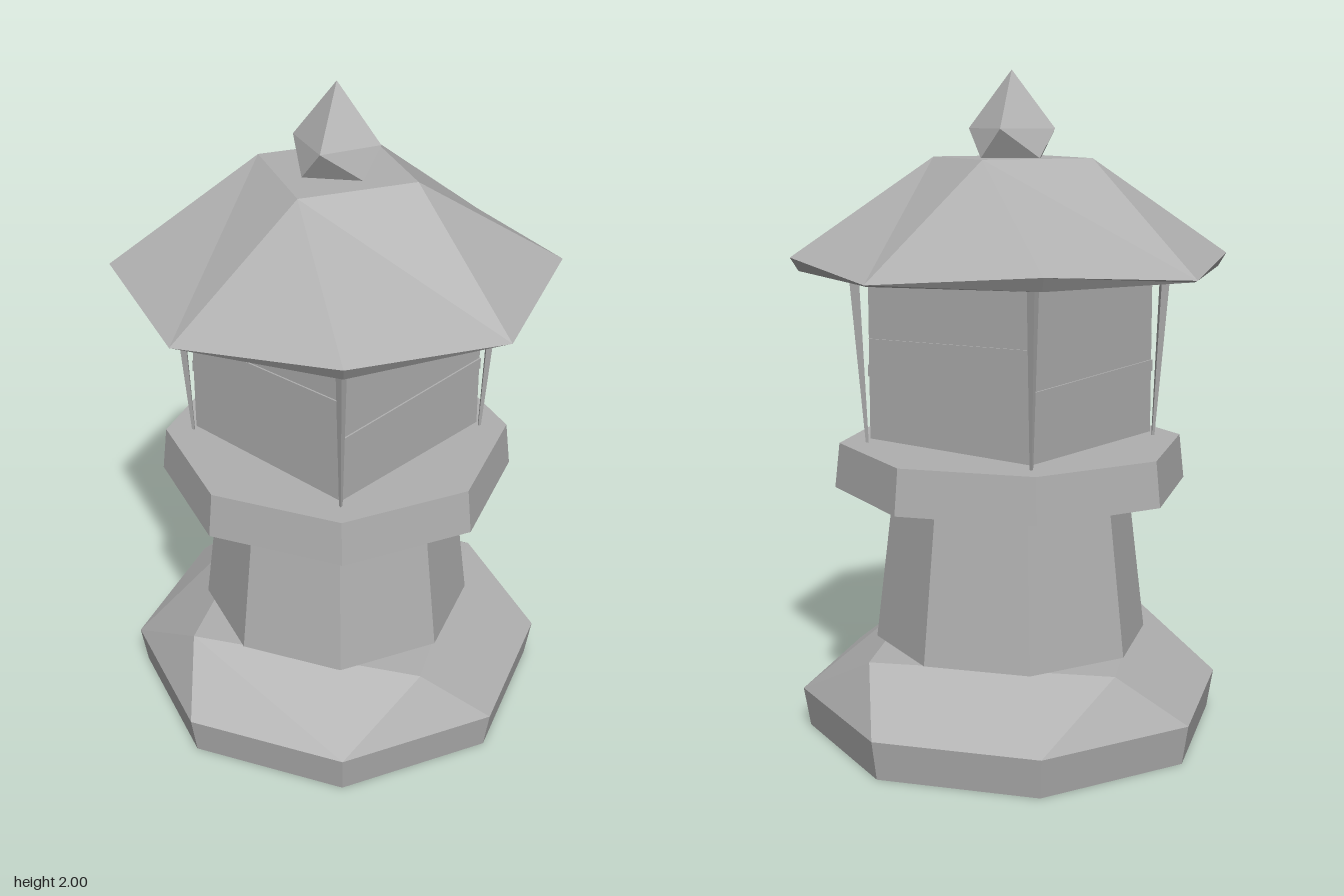
import * as THREE from 'three';

const rad = THREE.MathUtils.degToRad;

// Ring of n corners; alternate corners may have their own radius and height
const ring = (n, r, y, deg = 0, { r2 = r, y2 = y, x = 0, z = 0 } = {}) => ({
  n,
  angle: i => deg + (360 * i) / n,
  point(i) {
    const a = rad(deg + (360 * (i % n)) / n);
    const odd = (i % n) % 2 === 1;
    const d = odd ? r2 : r;
    return [x + Math.sin(a) * d, odd ? y2 : y, z + Math.cos(a) * d];
  },
});

// Closed faceted solid through rings that may differ in corner count
function loft(rings) {
  const pos = [];
  const tri = (a, b, c) => pos.push(...a, ...b, ...c);
  for (let k = 0; k < rings.length - 1; k++) {
    const lo = rings[k], up = rings[k + 1];
    let i = 0, j = 0;
    while (i < lo.n || j < up.n) {
      if (j >= up.n || (i < lo.n && lo.angle(i + 1) <= up.angle(j + 1))) {
        tri(lo.point(i), lo.point(i + 1), up.point(j));
        i++;
      } else {
        if (up.n > 1) tri(lo.point(i), up.point(j + 1), up.point(j));
        j++;
      }
    }
  }
  const bottom = rings[0], top = rings[rings.length - 1];
  for (let i = 1; i < bottom.n - 1; i++) tri(bottom.point(0), bottom.point(i + 1), bottom.point(i));
  for (let i = 1; i < top.n - 1; i++) tri(top.point(0), top.point(i), top.point(i + 1));
  const g = new THREE.BufferGeometry();
  g.setAttribute('position', new THREE.Float32BufferAttribute(pos, 3));
  g.computeVertexNormals();
  return g;
}

export function createModel() {
  const group = new THREE.Group();
  const stone = new THREE.MeshStandardMaterial({ color: 0xb0b0b0, flatShading: true });
  stone.name = 'grey stone';
  const add = (name, geometry, parent = group) => {
    const m = new THREE.Mesh(geometry, stone);
    m.name = name;
    parent.add(m);
    return m;
  };

  // Octagonal foot narrowing to a twisted square
  add('base', loft([ring(8, 0.63, 0), ring(8, 0.65, 0.12), ring(4, 0.515, 0.28, -17)]));

  // Tapered column with a low crown
  add('pedestal', loft([ring(8, 0.42, 0.28), ring(8, 0.367, 0.72), ring(8, 0.22, 0.752)]));

  // Slab carrying the light chamber
  add('platform', loft([ring(8, 0.54, 0.757), ring(8, 0.525, 0.893)]));

  // Light chamber
  add('lightChamber', new THREE.BoxGeometry(0.61, 0.495, 0.61)).position.y = 1.152;

  // Thin wedge strip across each chamber wall
  const wedge = new THREE.Shape([
    new THREE.Vector2(-0.305, 0), new THREE.Vector2(0.305, -0.015), new THREE.Vector2(0.305, 0.02),
  ]);
  const strip = new THREE.ExtrudeGeometry(wedge, { depth: 0.006, bevelEnabled: false });
  strip.translate(0, 0, 0.304);
  for (let i = 0; i < 4; i++) {
    const s = add('wallStrip', strip);
    s.rotation.y = (i * Math.PI) / 2;
    s.position.y = i % 2 ? 1.21 : 1.11;
  }

  // Slender corner posts leaning outward
  for (let i = 0; i < 4; i++) {
    const post = add('cornerPost', loft([
      ring(3, 0.006, 0.893, 45, { x: 0.311, z: 0.311 }),
      ring(3, 0.02, 1.42, 45, { x: 0.332, z: 0.332 }),
    ]));
    post.rotation.y = (i * Math.PI) / 2;
  }

  // Roof with lifted diagonal eaves and a twisted square top
  add('roof', loft([
    ring(8, 0.64, 1.415, 0, { r2: 0.635 }),
    ring(8, 0.65, 1.42, 0, { r2: 0.66, y2: 1.455 }),
    ring(4, 0.25, 1.745, 18.4),
  ]));

  // Faceted finial
  add('finial', loft([ring(4, 0.122, 1.745, -10), ring(4, 0.132, 1.83, 23), ring(1, 0, 2, 23)]));

  return group;
}
